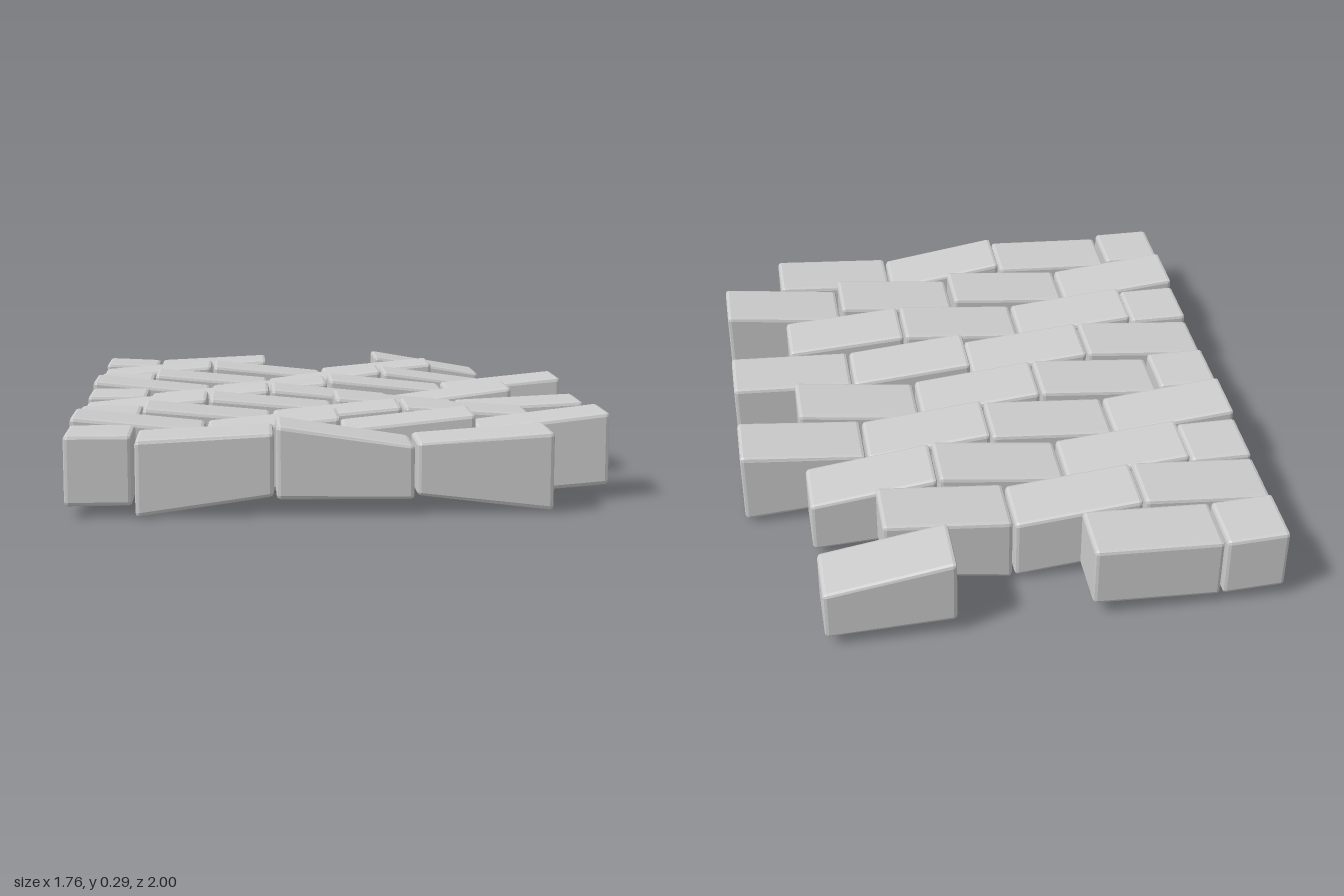
import * as THREE from 'three';
import { RoundedBoxGeometry } from 'three/addons/geometries/RoundedBoxGeometry.js';

const PITCH_X = 0.443, PITCH_Z = 0.2225, GAP = 0.008, DEPTH = 0.216;
const TOP = 0.267, BOTTOM = 0.043;

const material = new THREE.MeshStandardMaterial({ color: 0xcccccc, flatShading: true });

// Chamfered brick whose top and bottom faces slope independently from end to end.
// lift = [topLeft, topRight, bottomLeft, bottomRight] offsets in hundredths
function brick(x0, x1, z, lift) {
  const [tl, tr, bl = tl, br = tr] = lift;
  const w = x1 - x0, h = TOP - BOTTOM;
  const geo = new RoundedBoxGeometry(w, h, DEPTH, 1, 0.013);
  const p = geo.attributes.position;
  for (let i = 0; i < p.count; i++) {
    const u = p.getX(i) / w + 0.5;
    const v = p.getY(i) / h + 0.5;
    const top = TOP + THREE.MathUtils.lerp(tl, tr, u) / 100;
    const bottom = BOTTOM + THREE.MathUtils.lerp(bl, br, u) / 100;
    p.setY(i, THREE.MathUtils.lerp(bottom, top, v));
  }
  geo.computeVertexNormals();
  const mesh = new THREE.Mesh(geo, material);
  mesh.position.set((x0 + x1) / 2, 0, z);
  return mesh;
}

// Rows from back to front; null leaves a gap. Rows with a half brick alternate with full rows.
const rows = [
  [[1, 0], [0, 2], null, [3.5, -4, 2, 0.5]],
  [[-1, 2.5], [2.5, -2], [-1, 3, -2.5, 4.5]],
  [[0, 0], [2, -2], [-2.5, 3, -2, 2], [2.5, -3.5, 2, 0]],
  [[2.5, -2], [-2, 1.5], [2.5, -2], [-1.5, 2.8, 1.5, -2.3]],
  [[0, 0], [-2, 2], [2, -2.5], [-3.5, 2, -3, 4.5]],
  [[-2, 2], [2, -2], [2, -2], [-2, 0, -2.3, 0.3]],
  [[0, 0], [2, -2], [-2, 2], [2, -1, 2, -2.2]],
  [[2.5, -2], [-2, 2], [-2, 2.5], [-2.3, 2.8, -2.5, 1]],
  [[0.2, 0.2, 0, 0], [-1.5, 0.5, -3.8, 2.5], [2.8, -4, 1.5, 1.2], [-3, 0, 2.5, -3]],
];

export function createModel() {
  const group = new THREE.Group();
  group.name = 'brickPaving';
  rows.forEach((lifts, r) => {
    const row = new THREE.Group();
    row.name = `brickRow${r + 1}`;
    const halfFirst = r % 2 === 0;
    lifts.forEach((lift, i) => {
      if (!lift) return;
      const start = -0.889 + PITCH_X * (halfFirst ? i - 0.5 : i);
      const mesh = brick(Math.max(start, -0.889), start + PITCH_X - GAP, (r - 4) * PITCH_Z, lift);
      mesh.name = halfFirst && i === 0 ? 'halfBrick' : 'brick';
      row.add(mesh);
    });
    group.add(row);
  });
  return group;
}
